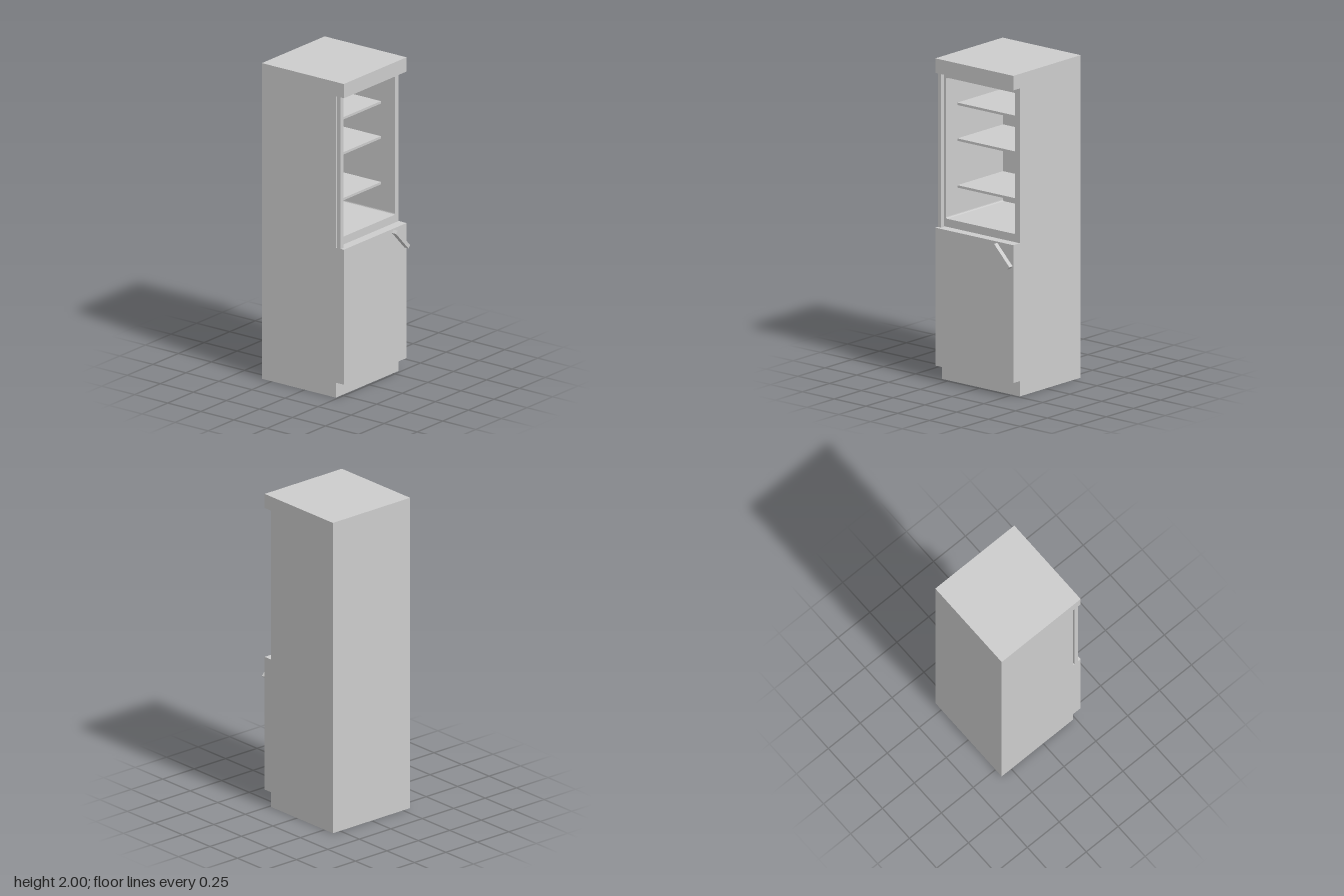
import * as THREE from 'three';

export function createModel() {
  const model = new THREE.Group();
  model.name = 'displayFridge';
  const grey = new THREE.MeshStandardMaterial({ color: 0xcccccc });
  grey.name = 'light grey';

  const add = (name, geometry) => {
    const mesh = new THREE.Mesh(geometry, grey);
    mesh.name = name;
    model.add(mesh);
    return mesh;
  };
  // box from its limits on each axis
  const box = (name, x0, x1, y0, y1, z0, z1) => {
    const mesh = add(name, new THREE.BoxGeometry(x1 - x0, y1 - y0, z1 - z0));
    mesh.position.set((x0 + x1) / 2, (y0 + y1) / 2, (z0 + z1) / 2);
    return mesh;
  };

  const back = -0.325, face = 0.235, front = 0.295, half = 0.307, inner = -0.29;

  // cabinet shell: side outline with a softly cornered opening, extruded along x
  const outline = new THREE.Shape();
  outline.moveTo(-half, 0).lineTo(half, 0).lineTo(half, 2).lineTo(-half, 2).closePath();
  const hole = new THREE.Path();
  const l = -0.275, r = 0.27, b = 1.0, t = 1.875, c = 0.01;
  hole.moveTo(l + c, b);
  hole.lineTo(r - c, b).quadraticCurveTo(r, b, r, b + c);
  hole.lineTo(r, t - c).quadraticCurveTo(r, t, r - c, t);
  hole.lineTo(l + c, t).quadraticCurveTo(l, t, l, t - c);
  hole.lineTo(l, b + c).quadraticCurveTo(l, b, l + c, b);
  outline.holes.push(hole);
  const shell = new THREE.ExtrudeGeometry(outline, {
    depth: face - inner, bevelEnabled: false, curveSegments: 4,
  });
  shell.rotateY(Math.PI / 2).translate(inner, 0, 0);
  add('cabinetShell', shell);
  box('backPanel', back, inner, 0, 2, -half, half);

  // shelves stop short of the opening
  for (const y of [1.17, 1.46, 1.682]) {
    box('shelf', inner, 0.13, y, y + 0.015, l + 0.001, 0.275);
  }

  // parts standing proud of the cabinet face
  box('topValance', face, front, 1.91, 2, -half, half);
  box('lowerDoor', face, front, 0.095, 0.95, -half, half);
  box('slidScreen', 0.245, 0.272, 0.95, 1.91, 0.28, half);

  // slanted door handle
  const handle = add('doorHandle', new THREE.BoxGeometry(0.031, 0.024, 0.174));
  handle.position.set(0.31, 0.872, -0.233);
  handle.rotation.x = -0.8;

  return model;
}
